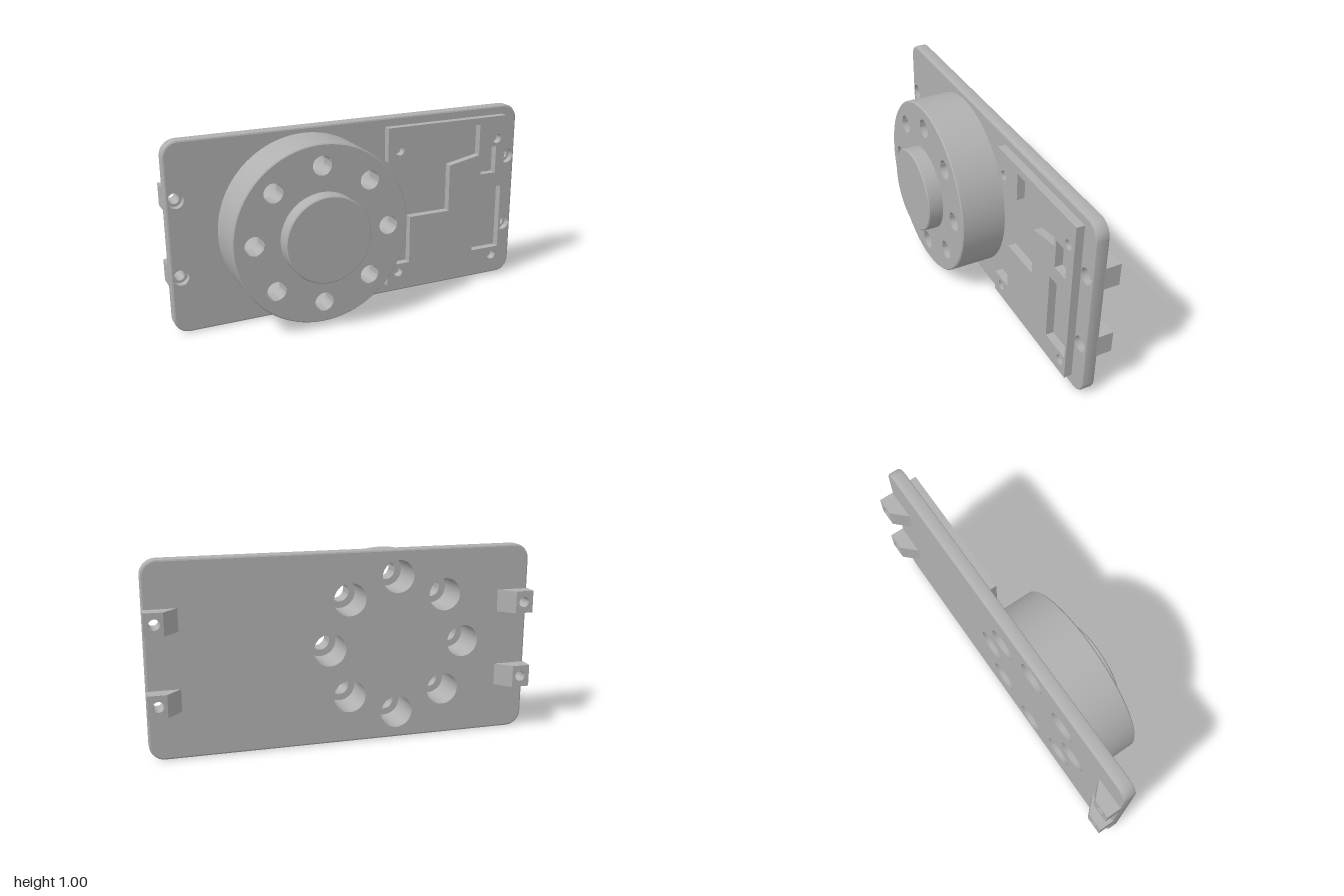
import * as THREE from 'three';
import { toCreasedNormals } from 'three/addons/utils/BufferGeometryUtils.js';

const BACK = -0.155, FRONT = -0.087, DISC = 0.15, HUB = 0.23, TAB = -0.23;
const CX = -0.28, CY = 0.5, BEVEL = 0.01;

export function createModel() {
  const model = new THREE.Group();
  const grey = new THREE.MeshStandardMaterial({ color: 0xb0b0b0 });
  grey.name = 'housing grey';

  const add = (name, geometry, x = 0, y = 0, z = 0) => {
    const mesh = new THREE.Mesh(geometry, grey);
    mesh.name = name;
    mesh.position.set(x, y, z);
    model.add(mesh);
    return mesh;
  };
  const poly = (pts) => new THREE.Shape(pts.map(([x, y]) => new THREE.Vector2(x, y)));
  const rect = (x0, y0, x1, y1) => poly([[x0, y0], [x1, y0], [x1, y1], [x0, y1]]);
  const circle = (x, y, r) => new THREE.Path().absarc(x, y, r, 0, Math.PI * 2);
  // turned surface around z; profile holds [radius, z], rising for outside walls, falling for bores
  const turned = (profile, segments) => {
    const lathe = new THREE.LatheGeometry(profile.map(([r, z]) => new THREE.Vector2(r, z)), segments);
    return toCreasedNormals(lathe.rotateX(Math.PI / 2), 0.6);
  };

  const bolts = [];
  for (let i = 0; i < 8; i++) {
    const a = i * Math.PI / 4;
    bolts.push([CX + 0.36 * Math.cos(a), CY + 0.36 * Math.sin(a)]);
  }
  const screws = [];
  for (const side of [-1, 1]) for (const y of [0.302, 0.705]) screws.push([side * 0.949, y, side]);

  // rounded plate outline, shrunk by an inset
  const outline = (inset) => {
    const r = 0.08, pts = [];
    [[0.92, 0.92], [-0.92, 0.92], [-0.92, 0.08], [0.92, 0.08]].forEach(([x, y], c) => {
      for (let i = 0; i <= 10; i++) {
        const a = (c + i / 10) * Math.PI / 2;
        pts.push([x + (r - inset) * Math.cos(a), y + (r - inset) * Math.sin(a)]);
      }
    });
    return pts;
  };

  // plate edge: rings swept from the back face to the front face
  const k = BEVEL * 0.29;
  const rings = [[BEVEL, BACK], [k, BACK + k], [0, BACK + BEVEL], [0, FRONT - BEVEL], [k, FRONT - k], [BEVEL, FRONT]];
  const positions = [], index = [];
  rings.forEach(([inset, z], j) => {
    const pts = outline(inset), n = pts.length;
    pts.forEach(([x, y], i) => {
      positions.push(x, y, z);
      if (j === rings.length - 1) return;
      const a = j * n + i, b = j * n + (i + 1) % n;
      index.push(a, b, b + n, a, b + n, a + n);
    });
  });
  const edge = new THREE.BufferGeometry();
  edge.setAttribute('position', new THREE.Float32BufferAttribute(positions, 3));
  edge.setIndex(index);
  add('plateEdge', toCreasedNormals(edge, 0.6));

  // plate faces with their holes
  const front = poly(outline(BEVEL));
  front.holes.push(circle(CX, CY, 0.465), ...screws.map(([x, y]) => circle(x, y, 0.041)));
  add('plateFront', new THREE.ShapeGeometry(front, 32), 0, 0, FRONT);

  const back = poly(outline(BEVEL));
  back.holes.push(...bolts.map(([x, y]) => circle(x, y, 0.085)), ...screws.map(([x, y]) => circle(x, y, 0.027)));
  const backGeometry = new THREE.ShapeGeometry(back, 16);
  // mirrored in x and turned around so that it faces backwards
  backGeometry.scale(-1, 1, 1).rotateY(Math.PI);
  const order = backGeometry.index.array;
  for (let i = 0; i < order.length; i += 3) [order[i], order[i + 1]] = [order[i + 1], order[i]];
  backGeometry.computeVertexNormals();
  add('plateBack', backGeometry, 0, 0, BACK);

  // large drum with a ring of stepped through holes
  const c = 0.006;
  add('drumWall', turned([[0.47, FRONT], [0.47, DISC - c], [0.47 - c, DISC]], 96), CX, CY);
  const drum = new THREE.Shape().absarc(0, 0, 0.47 - c, 0, Math.PI * 2);
  drum.holes.push(circle(0, 0, 0.22), ...bolts.map(([x, y]) => circle(x - CX, y - CY, 0.05)));
  add('drumFace', new THREE.ShapeGeometry(drum, 48), CX, CY, DISC);
  for (const [x, y] of bolts) {
    add('boltHole', turned([[0.05, DISC], [0.05, 0.05], [0.085, 0.05], [0.085, BACK]], 32), x, y);
  }

  // central hub
  add('hub', turned([[0.227, DISC - 0.01], [0.227, HUB - c], [0.227 - c, HUB], [0, HUB]], 64), CX, CY);

  // raised panel with stepped cut-out, two windows and corner holes
  const panel = poly([
    [0.178, 0.06], [0.905, 0.06], [0.905, 0.952], [0.178, 0.952], [0.178, 0.766], [0.382, 0.766],
    [0.382, 0.915], [0.74, 0.915], [0.74, 0.742], [0.555, 0.706], [0.555, 0.445], [0.313, 0.445],
    [0.313, 0.18], [0.178, 0.18],
  ]);
  panel.holes.push(rect(0.755, 0.63, 0.85, 0.782), rect(0.718, 0.18, 0.892, 0.548));
  for (const x of [0.245, 0.853]) for (const y of [0.132, 0.825]) panel.holes.push(circle(x, y, 0.026));
  add('raisedPanel', new THREE.ExtrudeGeometry(panel, { depth: 0.042, bevelEnabled: false, curveSegments: 12 }), 0, 0, FRONT);

  // mounting tabs behind the plate: drilled block plus sloping wedge
  for (const [x, y, side] of screws) {
    const y0 = y - 0.058, y1 = y + 0.058, depth = BACK + BEVEL - TAB;
    const block = rect(Math.min(side, side * 0.905), y0, Math.max(side, side * 0.905), y1);
    block.holes.push(circle(x, y, 0.027));
    add('tabBlock', new THREE.ExtrudeGeometry(block, { depth, bevelEnabled: false, curveSegments: 12 }), 0, 0, TAB);

    const wedge = poly([[side * 0.905, -TAB], [side * 0.905, -BACK], [side * 0.832, -BACK]]);
    const wedgeGeometry = new THREE.ExtrudeGeometry(wedge, { depth: 0.116, bevelEnabled: false });
    add('tabWedge', wedgeGeometry.rotateX(-Math.PI / 2), 0, y0);

    add('screwHole', turned([[0.041, FRONT], [0.041, -0.122], [0.027, -0.122], [0.027, BACK]], 24), x, y);
  }
  return model;
}
